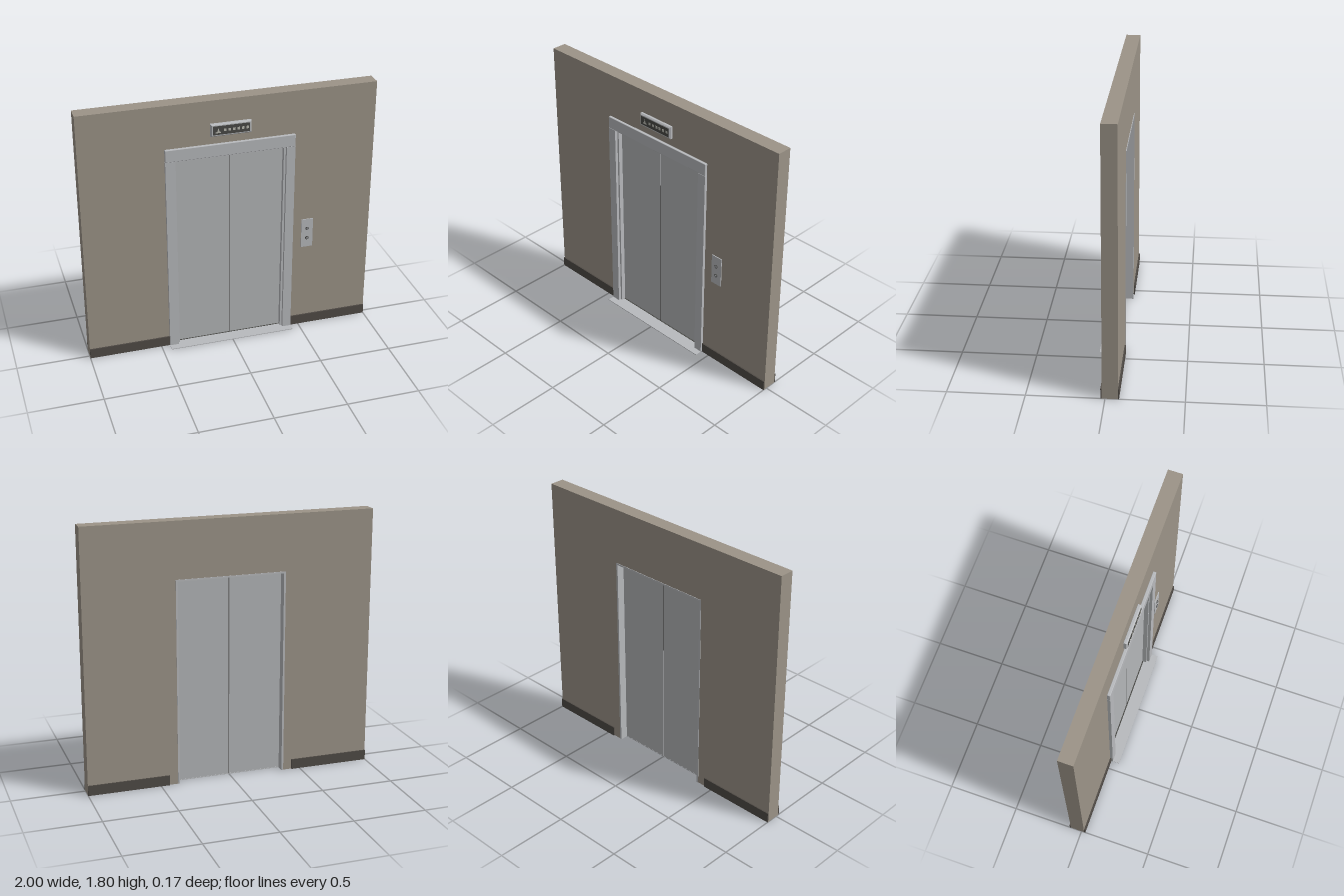
import * as THREE from 'three';
import { RoundedBoxGeometry } from 'three/addons/geometries/RoundedBoxGeometry.js';

const mat = (name, color) => {
  const m = new THREE.MeshStandardMaterial({ color });
  m.name = name;
  return m;
};

export function createModel() {
  const wallPaint = mat('wallPaint', 0x9c9488);
  const steel = mat('steel', 0xb8babd);
  const doorSteel = mat('doorSteel', 0xb4b6b8);
  const skirting = mat('skirting', 0x504b46);
  const dark = mat('dark', 0x4a4a47);
  const buttonGrey = mat('buttonGrey', 0x85878a);
  const display = mat('display', 0xb9b9b0);

  const model = new THREE.Group();
  model.name = 'elevator';
  const add = (name, geometry, material, x = 0, y = 0, z = 0) => {
    const mesh = new THREE.Mesh(geometry, material);
    mesh.name = name;
    mesh.position.set(x, y, z);
    model.add(mesh);
    return mesh;
  };
  // box given by its limits on each axis
  const box = (name, material, x0, x1, y0, y1, z0, z1) =>
    add(name, new THREE.BoxGeometry(x1 - x0, y1 - y0, z1 - z0), material,
      (x0 + x1) / 2, (y0 + y1) / 2, (z0 + z1) / 2);
  const polygon = (points) => new THREE.Shape(points.map(([x, y]) => new THREE.Vector2(x, y)));

  // wall with the doorway cut out
  const wallShape = polygon([[-1, 0], [-0.38, 0], [-0.38, 1.415], [0.38, 1.415],
    [0.38, 0], [1, 0], [1, 1.8], [-1, 1.8]]);
  add('wall', new THREE.ExtrudeGeometry(wallShape, { depth: 0.1, bevelEnabled: false }),
    wallPaint, 0, 0, -0.08);

  for (const s of [-1, 1]) {
    const side = s > 0 ? 'left' : 'right';
    const mirrored = (name, material, a, b, ...rest) =>
      box(side + name, material, Math.min(s * a, s * b), Math.max(s * a, s * b), ...rest);
    // baseboards on both faces of the wall
    mirrored('FrontBaseboard', skirting, 0.44, 1, 0, 0.07, 0.02, 0.029);
    mirrored('BackBaseboard', skirting, 0.44, 1, 0, 0.07, -0.088, -0.08);
    // door frame and sliding door
    mirrored('Casing', steel, 0.38, 0.44, 0, 1.415, 0.02, 0.04);
    mirrored('Jamb', steel, 0.367, 0.38, 0, 1.415, -0.083, 0.02);
    mirrored('Door', doorSteel, 0.002, 0.367, 0.006, 1.403, -0.028, -0.01);
  }
  box('doorSeam', dark, -0.002, 0.002, 0.006, 1.403, -0.026, -0.012);
  box('headJamb', steel, -0.367, 0.367, 1.403, 1.415, -0.083, 0.02);
  add('header', new RoundedBoxGeometry(0.88, 0.085, 0.022, 3, 0.004), steel, 0, 1.4575, 0.03);

  // floor sill with its door track
  box('sill', steel, -0.44, 0.44, 0, 0.005, -0.028, 0.087);
  box('sillTrack', dark, -0.367, 0.367, 0.005, 0.006, -0.01, -0.002);

  // floor indicator: bevelled frame, dark screen, arrow and lamps
  const rim = polygon([[-0.13, -0.036], [0.13, -0.036], [0.13, 0.036], [-0.13, 0.036]]);
  rim.holes.push(polygon([[-0.13, -0.036], [-0.13, 0.036], [0.13, 0.036], [0.13, -0.036]]));
  const bevel = { depth: 0.015, bevelThickness: 0.008, bevelSize: 0.007, bevelSegments: 1 };
  add('indicatorFrame', new THREE.ExtrudeGeometry(polygon([[-0.13, -0.036], [0.13, -0.036],
    [0.13, 0.036], [-0.13, 0.036]]), bevel), steel, 0, 1.6, 0.022);
  box('indicatorScreen', dark, -0.124, 0.124, 1.57, 1.63, 0.044, 0.0465);
  add('indicatorArrow', new THREE.ShapeGeometry(polygon([[-0.018, -0.018], [0.018, -0.018],
    [0.018, -0.011], [0.007, -0.007], [0, 0.02], [-0.007, -0.007], [-0.018, -0.011]])),
    display, -0.088, 1.6, 0.0472);
  for (let i = 0; i < 6; i++) {
    const x = -0.043 + i * 0.03;
    box('indicatorLamp', display, x - 0.009, x + 0.009, 1.591, 1.609, 0.046, 0.0475);
  }

  // call panel with two round buttons
  box('callPanel', steel, 0.505, 0.588, 0.63, 0.845, 0.02, 0.026);
  for (const y of [0.7, 0.772]) {
    const ring = new THREE.CylinderGeometry(0.012, 0.012, 0.005, 24).rotateX(Math.PI / 2);
    add('buttonRing', ring, dark, 0.546, y, 0.028);
    const cap = new THREE.CylinderGeometry(0.007, 0.009, 0.006, 24).rotateX(Math.PI / 2);
    add('buttonCap', cap, buttonGrey, 0.546, y, 0.032);
  }
  return model;
}
